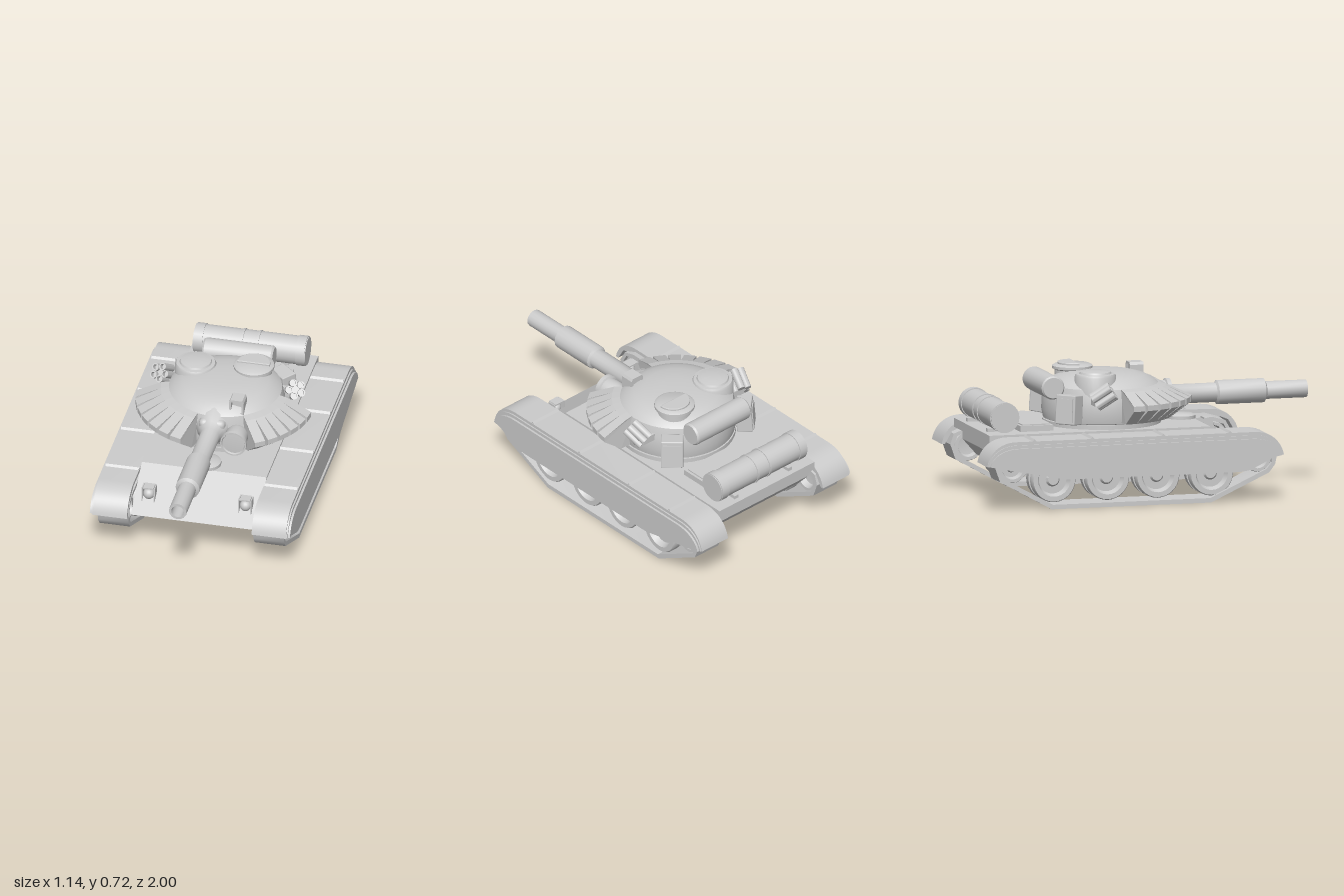
import * as THREE from 'three';
import { toCreasedNormals } from 'three/addons/utils/BufferGeometryUtils.js';
import { RoundedBoxGeometry } from 'three/addons/geometries/RoundedBoxGeometry.js';

const mat = new THREE.MeshStandardMaterial({ color: 0xcccccc });
const flat = new THREE.MeshStandardMaterial({ color: 0xcccccc, flatShading: true });
const V = (a) => a.map(([x, y]) => new THREE.Vector2(x, y));
const TURRET_Z = -0.18;

export function createModel() {
  const root = new THREE.Group();
  const add = (name, geo, x = 0, y = 0, z = 0, parent = root, material = mat) => {
    const m = new THREE.Mesh(geo, material);
    m.name = name;
    m.position.set(x, y, z);
    parent.add(m);
    return m;
  };
  const box = (w, h, d) => new THREE.BoxGeometry(w, h, d);
  const lathe = (pts, seg = 32) => toCreasedNormals(new THREE.LatheGeometry(V(pts), seg), 0.6);
  // Side profile in (z, y), extruded symmetrically along x
  const sideExtrude = (shape, width) => {
    const g = new THREE.ExtrudeGeometry(shape, { depth: width, bevelEnabled: false, curveSegments: 12 });
    g.translate(0, 0, -width / 2).rotateY(-Math.PI / 2);
    return toCreasedNormals(g, 0.5);
  };

  // Hull
  add('hull', sideExtrude(new THREE.Shape(V([
    [0.345, 0.4], [-0.93, 0.4], [-0.93, 0.35], [-0.88, 0.33], [-0.88, 0.28],
    [-0.8, 0.19], [-0.55, 0.11], [0.42, 0.11], [0.62, 0.225],
  ])), 0.71));
  add('engineCover', box(0.53, 0.035, 0.19), 0, 0.415, -0.63);
  add('engineGrille', box(0.5, 0.01, 0.16), 0, 0.434, -0.63);
  add('driverHatch', lathe([[0.08, 0], [0.08, 0.018], [0.06, 0.028], [0, 0.03]]), 0, 0.4, 0.28);

  // Rear drum with bands
  const drum = new THREE.Group();
  drum.name = 'fuelDrum';
  drum.position.set(0, 0.49, -0.83);
  drum.rotation.z = Math.PI / 2;
  root.add(drum);
  add('drumBody', new THREE.CylinderGeometry(0.08, 0.08, 0.64, 24), 0, 0, 0, drum);
  for (const y of [-0.29, -0.045, 0.045, 0.29])
    add('drumBand', new THREE.CylinderGeometry(0.085, 0.085, Math.abs(y) > 0.1 ? 0.05 : 0.012, 24), 0, y, 0, drum);
  for (const x of [-0.2, 0.2]) add('drumBracket', box(0.03, 0.04, 0.1), x, 0.4, -0.85);

  // Running gear and fenders, one set per side
  const wheel = [[0, -0.03], [0.08, -0.035], [0.093, -0.07], [0.12, -0.07], [0.125, -0.062],
    [0.125, -0.015], [0.09, -0.012], [0.09, 0.012], [0.125, 0.015],
    [0.125, 0.062], [0.12, 0.07], [0.093, 0.07], [0.08, 0.035], [0.04, 0.035], [0.03, 0.05], [0, 0.05]];
  const arch = (shape, front, back, top, end) => {
    shape.moveTo(back, end);
    shape.bezierCurveTo(back + 0.015, end + (top - end) * 0.55, back + 0.07, top, back + 0.17, top);
    shape.lineTo(front - 0.17, top);
    shape.bezierCurveTo(front - 0.07, top, front - 0.015, end + (top - end) * 0.55, front, end);
  };
  for (const s of [-1, 1]) {
    const side = new THREE.Group();
    side.name = s > 0 ? 'leftSide' : 'rightSide';
    root.add(side);

    const track = new THREE.Shape(V([[0.3, 0], [0.635, 0.155], [0.67, 0.2], [0.68, 0.25], [0.64, 0.32], [0.57, 0.34],
      [-0.85, 0.34], [-0.93, 0.31], [-0.95, 0.25], [-0.92, 0.165], [-0.62, 0]]));
    track.holes.push(new THREE.Path(V([[0.295, 0.025], [0.62, 0.175], [0.65, 0.21], [0.655, 0.25], [0.63, 0.3], [0.57, 0.318],
      [-0.85, 0.318], [-0.91, 0.295], [-0.927, 0.25], [-0.9, 0.182], [-0.613, 0.025]])));
    add('track', sideExtrude(track, 0.175), s * 0.4425, 0, 0, side);

    const addWheel = (name, z, y, k) => {
      const m = add(name, lathe(wheel, 28), s * 0.44, y, z, side);
      m.rotation.z = -s * Math.PI / 2;
      m.scale.set(k, 1, k);
    };
    for (const z of [0.31, 0, -0.29, -0.6]) addWheel('roadWheel', z, 0.16, 1);
    addWheel('idlerWheel', 0.575, 0.235, 0.62);
    addWheel('driveSprocket', -0.84, 0.235, 0.66);

    // Thin curved fender shell
    const fender = new THREE.Shape();
    arch(fender, 0.715, -1, 0.388, 0.255);
    V([[0.695, 0.255], [0.655, 0.325], [0.55, 0.368], [-0.83, 0.368], [-0.94, 0.325], [-0.98, 0.255]])
      .forEach((p) => fender.lineTo(p.x, p.y));
    add('fender', sideExtrude(fender, 0.195), s * 0.4525, 0, 0, side);

    // Side skirt with a stepped upper edge
    const skirt = new THREE.Shape();
    arch(skirt, 0.7, -0.985, 0.352, 0.255);
    V([[0.65, 0.245], [0.52, 0.18], [0.46, 0.17], [-0.55, 0.17]]).forEach((p) => skirt.lineTo(p.x, p.y));
    add('skirt', sideExtrude(skirt, 0.03), s * 0.555, 0, 0, side);
    const rim = new THREE.Shape();
    arch(rim, 0.71, -0.995, 0.37, 0.255);
    add('skirtRim', sideExtrude(rim, 0.012), s * 0.552, 0, 0, side);

    for (const z of [-0.725, -0.39, 0.02, 0.405])
      add('fenderRib', sideExtrude(new THREE.Shape(V([[-0.012, 0], [0.012, 0], [0, 0.014]])), 0.19), s * 0.4525, 0.386, z, side);

    // Headlight with hood
    const lamp = new THREE.Group();
    lamp.name = 'headlight';
    lamp.position.set(s * 0.275, 0.31, 0.51);
    root.add(lamp);
    add('lampBulb', new THREE.SphereGeometry(0.032, 16, 12), 0, 0.003, 0.008, lamp);
    add('hoodTop', box(0.06, 0.008, 0.055), 0, 0.044, 0, lamp);
    for (const e of [-1, 1])
      add('hoodSide', sideExtrude(new THREE.Shape(V([[-0.028, 0.046], [0.022, 0.046], [0.034, -0.042], [-0.028, -0.01]])), 0.006), e * 0.035, 0, 0, lamp);
  }

  // Turret shell
  const turret = new THREE.Group();
  turret.name = 'turret';
  root.add(turret);
  add('turretRing', new THREE.CylinderGeometry(0.33, 0.33, 0.03, 40), 0, 0.41, TURRET_Z, turret);
  add('turretDome', lathe([[0.3, 0.42], [0.325, 0.43], [0.335, 0.48], [0.33, 0.56], [0.315, 0.62], [0.285, 0.645],
    [0.24, 0.667], [0.18, 0.682], [0.09, 0.69], [0, 0.69]], 48), 0, 0, TURRET_Z, turret);

  // Wedge armour panels: slits open towards the outer edge
  const section = [[0.3, 0.624], [0.36, 0.612], [0.5, 0.55], [0.5, 0.52], [0.39, 0.435], [0.3, 0.435]];
  const panel = (a0, a1) => {
    const n = section.length, pos = [], idx = [];
    for (const [a, d] of [[a0, 1], [a1, -1]])
      for (const [r, y] of section) {
        const t = a + (r > 0.45 ? d * 0.018 : 0);
        pos.push(r * Math.sin(t), y, r * Math.cos(t));
      }
    for (let i = 0; i < n; i++) {
      const j = (i + 1) % n;
      idx.push(i, j, n + i, j, n + j, n + i);
      if (i > 0 && i < n - 1) idx.push(0, i + 1, i, n, n + i, n + i + 1);
    }
    const g = new THREE.BufferGeometry();
    g.setAttribute('position', new THREE.Float32BufferAttribute(pos, 3));
    g.setIndex(idx);
    const out = g.toNonIndexed();
    out.computeVertexNormals();
    return out;
  };
  for (const [from, to, count] of [[-86, -16, 7], [31, 86, 6]]) {
    const step = (to - from) / count;
    for (let i = 0; i < count; i++) {
      const a = THREE.MathUtils.degToRad(from + i * step);
      add('armourPanel', panel(a, a + THREE.MathUtils.degToRad(step)), 0, 0, TURRET_Z, turret, flat);
    }
  }

  // Gun: mantlet, barrel, sleeve and hollow muzzle in one turned profile
  const gun = add('gun', lathe([[0.13, 0.02], [0.115, 0.1], [0.075, 0.17], [0.055, 0.21], [0.055, 0.475], [0.068, 0.485],
    [0.068, 0.755], [0.05, 0.765], [0.05, 1], [0.036, 1], [0.036, 0.85], [0, 0.85]], 16), 0, 0.535, 0, turret);
  gun.rotation.x = Math.PI / 2;
  add('mantletBlock', new RoundedBoxGeometry(0.15, 0.15, 0.16, 2, 0.03), 0, 0.535, 0.1, turret);

  // Searchlight
  const light = add('searchlight', lathe([[0, 0], [0.055, 0], [0.064, 0.025], [0.064, 0.09], [0.074, 0.095],
    [0.074, 0.118], [0.066, 0.118], [0.062, 0.108], [0, 0.112]], 28), 0.143, 0.53, 0.135, turret);
  light.rotation.x = Math.PI / 2;
  add('searchlightMount', box(0.06, 0.05, 0.1), 0.143, 0.53, 0.1, turret);

  // Gunner sight: open-fronted box
  const frame = new THREE.Shape(V([[-0.042, 0], [0.042, 0], [0.042, 0.08], [0.034, 0.095], [-0.034, 0.095], [-0.042, 0.08]]));
  frame.holes.push(new THREE.Path(V([[-0.03, 0.015], [-0.03, 0.08], [0.03, 0.08], [0.03, 0.015]])));
  add('sightHousing', new THREE.ExtrudeGeometry(frame, { depth: 0.08, bevelEnabled: false }), 0.123, 0.615, 0.008, turret);
  add('sightBack', box(0.066, 0.07, 0.04), 0.123, 0.662, 0.035, turret);

  // Cupolas
  add('gunnerCupola', lathe([[0.115, 0.55], [0.115, 0.685], [0.108, 0.698], [0.09, 0.7], [0.085, 0.71], [0.05, 0.717], [0, 0.718]]),
    -0.19, 0, -0.27, turret);
  add('commanderCupola', lathe([[0.1, 0.55], [0.1, 0.68], [0.113, 0.687], [0.113, 0.702], [0.095, 0.712], [0, 0.714]]),
    0.132, 0, -0.31, turret);
  const hatch = new THREE.Shape();
  hatch.absarc(0, 0, 0.088, 0, Math.PI);
  const lid = add('commanderHatch', new THREE.ExtrudeGeometry(hatch,
    { depth: 0.01, bevelEnabled: true, bevelSize: 0.005, bevelThickness: 0.004, bevelSegments: 2, curveSegments: 20 }),
    0.132, 0.71, -0.3, turret);
  lid.rotation.x = -Math.PI / 2;

  // Smoke launchers and angled stowage boxes
  const up = new THREE.Vector3(0, 1, 0);
  for (const s of [-1, 1]) {
    const launcher = new THREE.Group();
    launcher.name = 'smokeLauncher';
    launcher.position.set(s * 0.375, 0.595, -0.275);
    launcher.quaternion.setFromUnitVectors(up, new THREE.Vector3(s * 0.25, 0.55, 0.8).normalize());
    turret.add(launcher);
    for (let i = 0; i < 5; i++) {
      const a = (i / 5) * Math.PI * 2 + 0.3;
      add('launcherTube', lathe([[0, -0.06], [0.021, -0.06], [0.021, 0.06], [0.014, 0.06], [0.014, 0.03], [0, 0.03]], 14),
        0.037 * Math.cos(a), 0, 0.037 * Math.sin(a), launcher);
    }
    add('launcherBracket', box(0.04, 0.09, 0.04), 0, -0.01, 0, launcher);
    add('launcherArm', box(0.09, 0.04, 0.05), s * 0.33, 0.56, -0.3, turret);

    const stow = new THREE.Group();
    stow.name = 'stowageBox';
    stow.position.set(s * 0.272, 0.515, -0.445);
    stow.rotation.set(0, s * -0.75 + Math.PI, 0);
    turret.add(stow);
    const body = add('stowageBody', new RoundedBoxGeometry(0.125, 0.165, 0.09, 1, 0.006), 0, 0, 0, stow);
    const lidPlate = add('stowageLid', box(0.1, 0.13, 0.012), 0, 0, 0.045, stow);
    body.rotation.x = lidPlate.rotation.x = -0.08;
  }

  // Rolled stowage tube at the turret rear
  const roll = add('stowageTube', lathe([[0, -0.2], [0.058, -0.2], [0.066, -0.19], [0.066, 0.19], [0.058, 0.2], [0, 0.2]], 20),
    0, 0.628, -0.515, turret);
  roll.rotation.z = Math.PI / 2;
  for (const x of [-0.12, 0.12]) add('tubeBracket', box(0.025, 0.04, 0.12), x, 0.58, -0.47, turret);

  return root;
}
